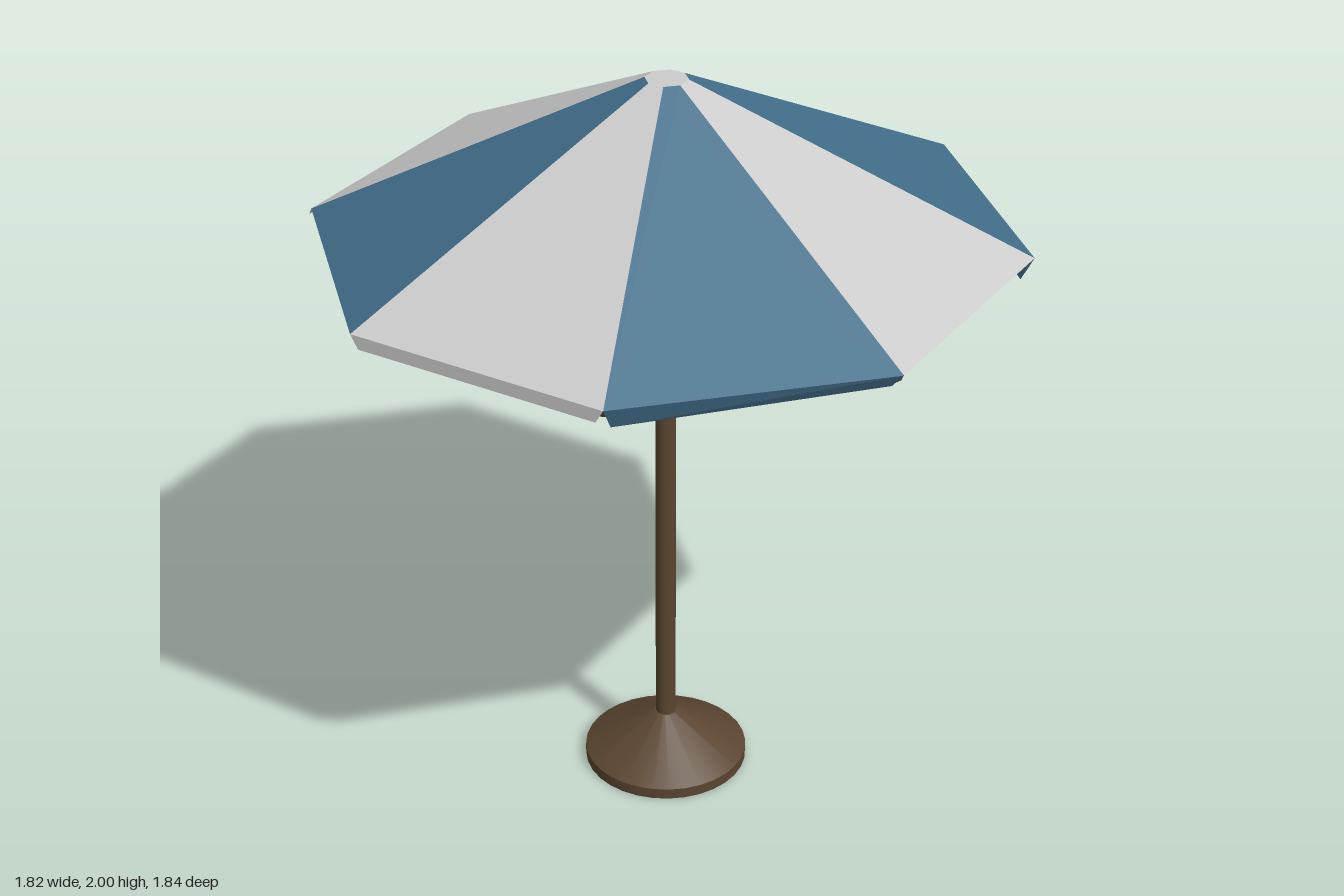
import * as THREE from 'three';
import { toCreasedNormals } from 'three/addons/utils/BufferGeometryUtils.js';

const SIDES = 8, RIM_R = 0.912, RIM_Y = 1.585, TOP_R = 0.055, TOP_Y = 2;
const wood = new THREE.MeshStandardMaterial({ color: 0x5a4530, side: THREE.DoubleSide });
const grey = new THREE.MeshStandardMaterial({ color: 0xcccccc, side: THREE.DoubleSide, flatShading: true });
const blue = new THREE.MeshStandardMaterial({ color: 0x426d8a, side: THREE.DoubleSide, flatShading: true });

// Point at a given radius and height on the spoke with index k
function spoke(k, r, y) {
  const a = (k / SIDES) * Math.PI * 2;
  return new THREE.Vector3(Math.cos(a) * r, y, Math.sin(a) * r);
}

function addMesh(parent, name, geometry, material) {
  const mesh = new THREE.Mesh(geometry, material);
  mesh.name = name;
  parent.add(mesh);
  return mesh;
}

// Flat four-cornered sheet of cloth
function quad(a, b, c, d) {
  const geometry = new THREE.BufferGeometry().setFromPoints([a, b, c, a, c, d]);
  geometry.computeVertexNormals();
  return geometry;
}

function turned(profile) {
  const points = profile.map(([r, y]) => new THREE.Vector2(r, y));
  return toCreasedNormals(new THREE.LatheGeometry(points, 32), 0.5);
}

// Straight bar between two points; sides = 4 gives a square section
function bar(parent, name, from, to, radius, sides) {
  const dir = to.clone().sub(from);
  let geometry = new THREE.CylinderGeometry(radius, radius, dir.length(), sides);
  if (sides === 4) {
    geometry.rotateY(Math.PI / 4);
    geometry = toCreasedNormals(geometry, 0.5);
  }
  const pivot = new THREE.Group();
  pivot.name = name;
  pivot.position.copy(from);
  pivot.rotation.y = -Math.atan2(dir.z, dir.x);
  const mesh = addMesh(pivot, name + 'Bar', geometry, wood);
  mesh.rotation.z = Math.atan2(dir.y, Math.hypot(dir.x, dir.z)) - Math.PI / 2;
  mesh.position.set(Math.hypot(dir.x, dir.z) / 2, dir.y / 2, 0);
  parent.add(pivot);
}

export function createModel() {
  const model = new THREE.Group();
  model.name = 'parasol';

  // Stand: hollow foot, pole and collar
  const stand = new THREE.Group();
  stand.name = 'stand';
  stand.position.set(-0.007, 0, 0.014);
  model.add(stand);
  addMesh(stand, 'base', turned([[0.22, 0], [0.22, 0.03], [0.03, 0.14], [0.02, 0.14]]), wood);
  addMesh(stand, 'pole', new THREE.CylinderGeometry(0.027, 0.027, 1.87, 20).translate(0, 1.035, 0), wood);
  addMesh(stand, 'collar', turned([
    [0.026, 1.222], [0.038, 1.222], [0.038, 1.234], [0.033, 1.236], [0.033, 1.25], [0.026, 1.25],
  ]), wood);

  // Frame: ribs below the cloth, each propped by a strut
  const frame = new THREE.Group();
  frame.name = 'frame';
  frame.position.set(-0.003, 0, 0.01);
  model.add(frame);
  for (let k = 0; k < SIDES; k++) {
    bar(frame, 'rib', spoke(k, 0.02, 1.982), spoke(k, 0.895, 1.572), 0.019, 4);
    bar(frame, 'strut', spoke(k, 0.02, 1.25), spoke(k, 0.68, 1.672), 0.012, 10);
  }

  // Canopy: striped panels, each with a loose flap hanging from its rim
  const canopy = new THREE.Group();
  canopy.name = 'canopy';
  canopy.position.z = 0.008;
  model.add(canopy);
  // Per flap: outward swing, then bottom height at its first and second corner
  const flaps = [
    [-0.025, 1.53, 1.52], [-0.035, 1.545, 1.55], [-0.02, 1.55, 1.53], [0, 1.55, 1.55],
    [-0.025, 1.545, 1.54], [0.025, 1.555, 1.55], [0.03, 1.505, 1.525], [-0.03, 1.545, 1.53],
  ];
  flaps.forEach(([swing, y0, y1], k) => {
    const cloth = k % 2 ? grey : blue;
    const rim0 = spoke(k, RIM_R, RIM_Y), rim1 = spoke(k + 1, RIM_R, RIM_Y);
    addMesh(canopy, 'panel', quad(spoke(k, TOP_R, TOP_Y), spoke(k + 1, TOP_R, TOP_Y), rim1, rim0), cloth);
    const out = spoke(k + 0.5, swing, 0);
    const low0 = rim0.clone().lerp(rim1, 0.03).add(out).setY(y0);
    const low1 = rim1.clone().lerp(rim0, 0.03).add(out).setY(y1);
    addMesh(canopy, 'flap', quad(rim0, rim1, low1, low0), cloth);
  });
  const cap = new THREE.CircleGeometry(TOP_R, SIDES).rotateX(-Math.PI / 2).translate(0, TOP_Y, 0);
  addMesh(canopy, 'cap', cap, grey);

  return model;
}
